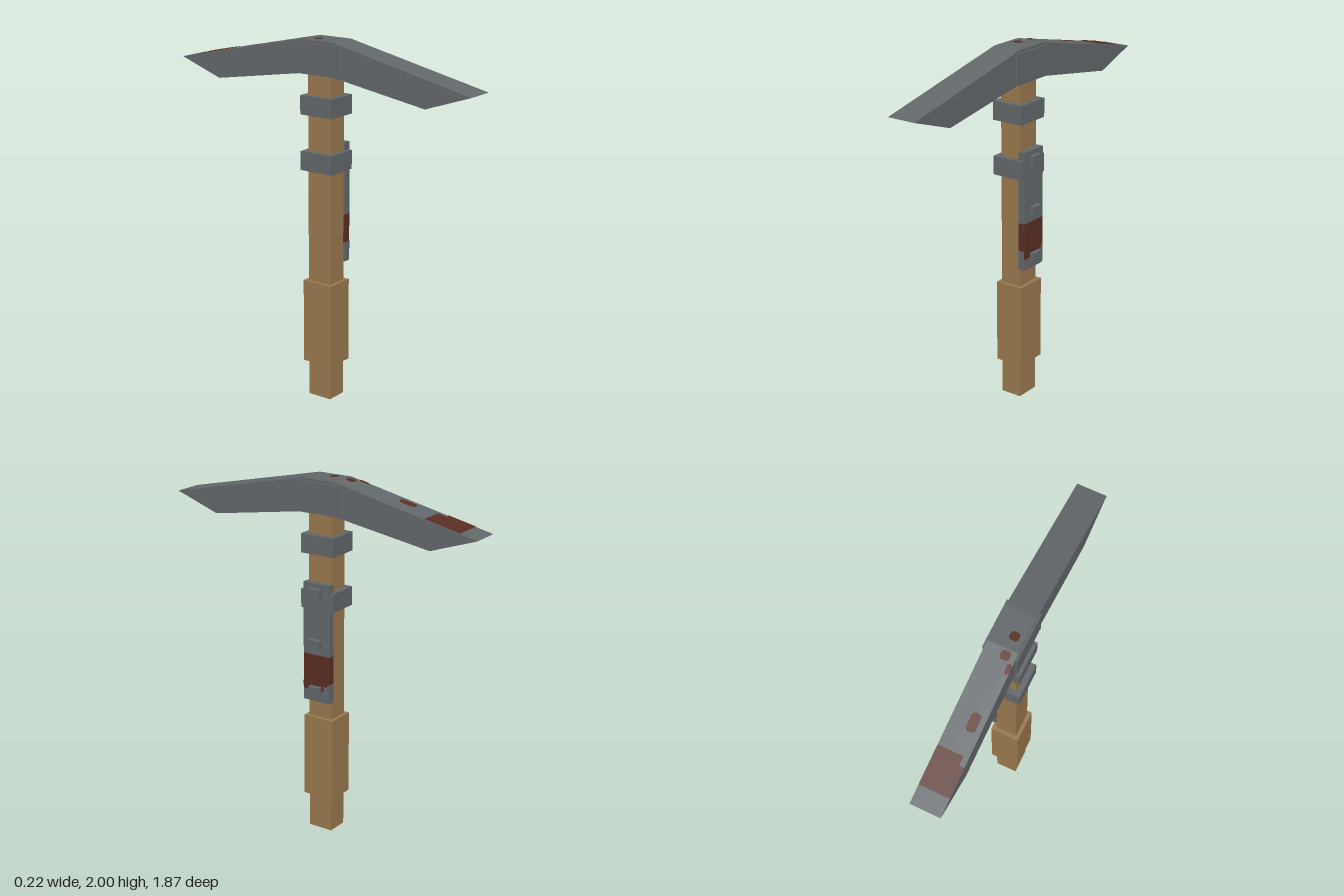
import * as THREE from 'three';

export function createModel() {
  const model = new THREE.Group();
  model.name = 'pickaxe';

  const material = (name, color) => {
    const m = new THREE.MeshStandardMaterial({ color });
    m.name = name;
    return m;
  };
  const wood = material('wood', 0x98784e);
  const steel = material('steel', 0x62676a);
  const rust = material('rust', 0x592e23);

  const add = (name, geometry, mat) => {
    const mesh = new THREE.Mesh(geometry, mat);
    mesh.name = name;
    model.add(mesh);
    return mesh;
  };
  // Box given by its limits on each axis
  const box = (name, mat, [x0, x1], [y0, y1], [z0, z1]) => {
    const g = new THREE.BoxGeometry(x1 - x0, y1 - y0, z1 - z0);
    g.translate((x0 + x1) / 2, (y0 + y1) / 2, (z0 + z1) / 2);
    return add(name, g, mat);
  };

  // Wooden handle
  box('shaft', wood, [-0.08, 0.042], [0, 1.85], [-0.072, 0.072]);
  box('grip', wood, [-0.1, 0.064], [0.203, 0.673], [-0.093, 0.093]);

  // Steel collars and head socket
  for (const y of [1.297, 1.6]) {
    box('collar', steel, [-0.11, 0.074], [y, y + 0.104], [-0.102, 0.102]);
  }
  box('headSocket', steel, [-0.11, 0.074], [1.82, 1.985], [-0.135, 0.135]);

  // Double-pointed head: side profile extruded across x
  const half = [[0.1, 2], [0.937, 1.818], [0.672, 1.727], [0.1, 1.82]];
  const outline = [...half, ...half.map(([z, y]) => [-z, y]).reverse()];
  const profile = new THREE.Shape(outline.map(([z, y]) => new THREE.Vector2(z, y)));
  const head = new THREE.ExtrudeGeometry(profile, { depth: 0.164, bevelEnabled: false });
  head.rotateY(-Math.PI / 2);
  head.translate(0.064, 0, 0);
  add('head', head, steel);

  // Side plate with a rusted band
  const plateX = [0.04, 0.08], plateZ = [-0.083, 0.083];
  box('plateLower', steel, plateX, [0.778, 0.887], plateZ);
  box('plateRustBand', rust, plateX, [0.887, 1.045], plateZ);
  box('plateUpper', steel, plateX, [1.045, 1.445], plateZ);
  box('plateRustEdge', rust, [0.078, 0.082], [0.842, 0.888], [-0.045, 0.083]);
  box('plateRustStep', rust, [0.078, 0.082], [0.872, 0.888], [-0.068, -0.045]);
  for (const [y0, y1] of [[1.36, 1.42], [1.09, 1.135], [0.823, 0.868]]) {
    box('bolt', steel, [0.08, 0.108], [y0, y1], [-0.035, 0.035]);
  }

  // Height of the head's upper or lower surface at distance d from the middle
  const lerp = ([d0, y0], [d1, y1], d) => y0 + ((y1 - y0) * (d - d0)) / (d1 - d0);
  const topY = (d) => (d < 0.1 ? 2 : lerp(half[0], half[1], d));
  const lowY = (d) => (d < 0.672 ? lerp(half[3], half[2], d) : lerp(half[2], half[1], d));

  // Rust patch laid on the back arm, with optional cut corners
  const patch = (name, x0, x1, d0, d1, cut, under) => {
    const pts = [
      [x0 + cut, d0], [x1 - cut, d0], [x1, d0 + cut], [x1, d1 - cut],
      [x1 - cut, d1], [x0 + cut, d1], [x0, d1 - cut], [x0, d0 + cut],
    ];
    const corners = cut ? pts : [pts[0], pts[1], pts[4], pts[5]];
    const g = new THREE.ShapeGeometry(new THREE.Shape(corners.map((p) => new THREE.Vector2(...p))));
    const pos = g.attributes.position;
    for (let i = 0; i < pos.count; i++) {
      const d = pos.getY(i);
      pos.setXYZ(i, pos.getX(i), under ? lowY(d) - 0.003 : topY(d) + 0.003, -d);
    }
    if (under) g.index.array.reverse();
    g.computeVertexNormals();
    add(name, g, rust);
  };

  // Rust near the back tip, above and below
  patch('tipRust', -0.1, 0.064, 0.685, 0.84, 0, false);
  patch('tipRustStep', -0.072, 0.064, 0.637, 0.685, 0, false);
  patch('tipRustUnder', -0.1, 0.064, 0.673, 0.84, 0, true);
  patch('tipRustUnderStep', -0.072, 0.064, 0.637, 0.671, 0, true);

  // Rust spots
  for (const under of [false, true]) {
    patch('rustSpot', -0.072, -0.022, 0.43, 0.525, 0.013, under);
    patch('rustSpot', -0.072, -0.022, 0.11, 0.157, 0.01, under);
    patch('rustSpot', -0.1, -0.076, 0.16, 0.215, 0.008, under);
  }
  patch('rustSpot', -0.07, -0.022, 0.005, 0.052, 0.01, false);

  return model;
}
